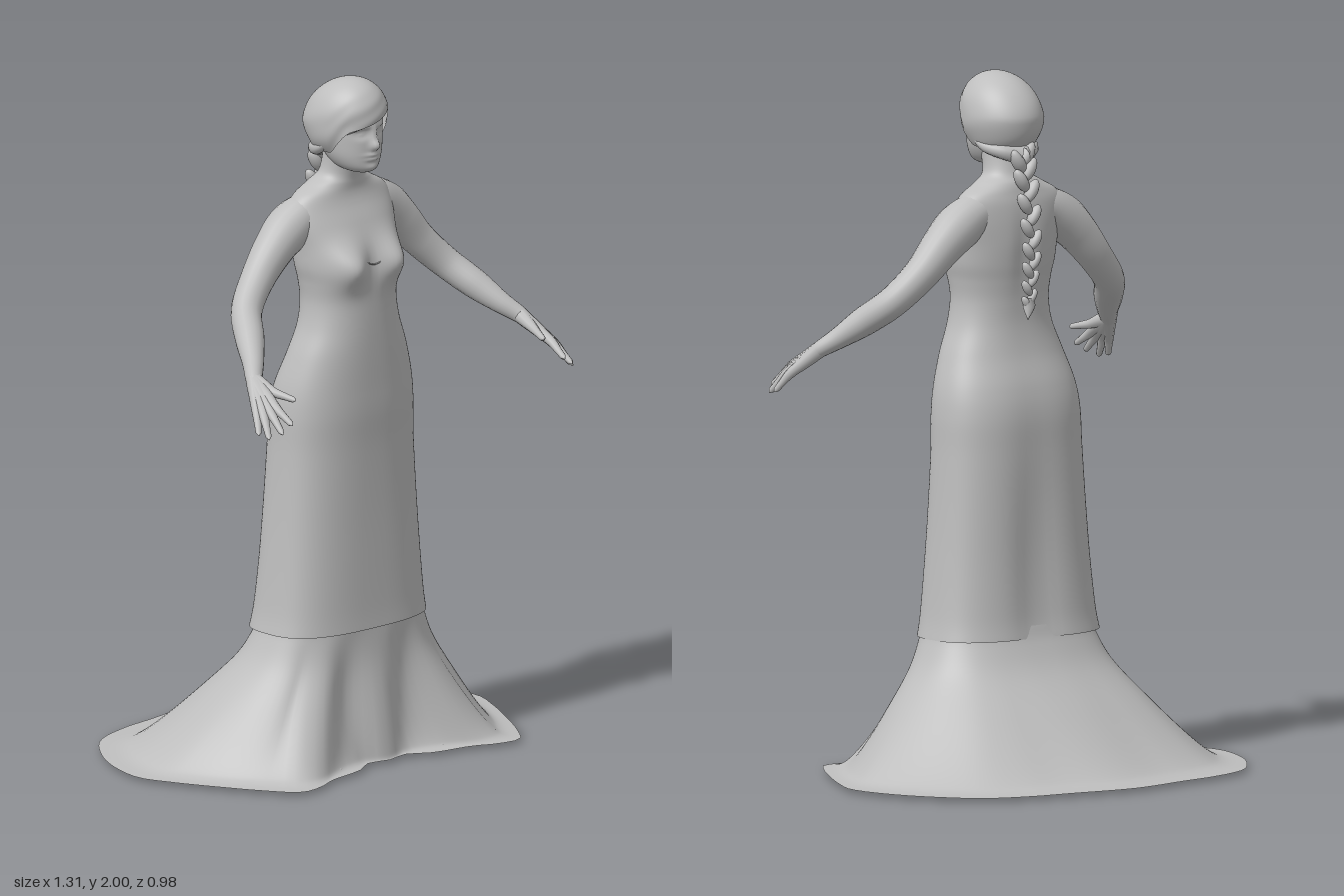
import * as THREE from 'three';

const grey = new THREE.MeshStandardMaterial({ color: 0xbebebe, side: THREE.DoubleSide });
grey.name = 'clay grey';

const bump = (a, b, s, t = s) => Math.exp(-((a / s) ** 2) - (b / t) ** 2);
const spow = (v, e) => Math.sign(v) * Math.abs(v) ** e;

// Smooth interpolation through a list of number rows, t in 0..1
function sample(rows, t) {
  const n = rows.length - 1, f = t * n, i = Math.min(n - 1, Math.floor(f)), k = f - i;
  const at = (j) => rows[Math.max(0, Math.min(n, j))];
  return rows[0].map((_, c) => {
    const [a, b, d, e] = [at(i - 1)[c], at(i)[c], at(i + 1)[c], at(i + 2)[c]];
    return b + 0.5 * k * (d - a + k * (2 * a - 5 * b + 4 * d - e + k * (3 * (b - d) + e - a)));
  });
}

// Closed rings stacked from top to bottom; u = 0 faces the front
function loft(name, nu, nv, fn) {
  const pos = [], idx = [];
  for (let j = 0; j <= nv; j++)
    for (let i = 0; i < nu; i++) {
      pos.push(...fn((i / nu) * Math.PI * 2, j / nv));
      if (j === nv) continue;
      const a = j * nu + i, b = j * nu + ((i + 1) % nu);
      idx.push(a, a + nu, b, b, a + nu, b + nu);
    }
  const g = new THREE.BufferGeometry();
  g.setAttribute('position', new THREE.Float32BufferAttribute(pos, 3));
  g.setIndex(idx);
  g.computeVertexNormals();
  return part(name, g);
}

function part(name, geometry) {
  const m = new THREE.Mesh(geometry, grey);
  m.name = name;
  return m;
}

// Rounded cross-section from [y, half width, front z, back z]
function ring([y, rx, zf, zb], u, e) {
  return [rx * spow(Math.sin(u), e), y, (zf + zb) / 2 + ((zf - zb) / 2) * spow(Math.cos(u), e)];
}

// Tapered tube through points [x, y, z, radius]
function limb(name, pts, seg = 24, sides = 14) {
  const curve = new THREE.CatmullRomCurve3(pts.map((p) => new THREE.Vector3(p[0], p[1], p[2])));
  const g = new THREE.TubeGeometry(curve, seg, 1, sides);
  const pos = g.attributes.position, nor = g.attributes.normal;
  for (let i = 0; i < pos.count; i++) {
    const u = Math.floor(i / (sides + 1)) / seg, c = curve.getPointAt(u);
    const r = Math.max(0.0005, sample(pts, curve.getUtoTmapping(u))[3]);
    pos.setXYZ(i, c.x + nor.getX(i) * r, c.y + nor.getY(i) * r, c.z + nor.getZ(i) * r);
  }
  return part(name, g);
}

// Neck to gown hem: [y, half width, front z, back z, roundness]
const BODY = [
  [1.79, 0.062, 0.205, 0.08, 1], [1.72, 0.067, 0.185, 0.065, 1], [1.69, 0.105, 0.18, 0.05, 0.95],
  [1.662, 0.155, 0.18, 0.042, 0.9], [1.63, 0.178, 0.19, 0.034, 0.9], [1.58, 0.18, 0.215, 0.028, 0.9],
  [1.52, 0.17, 0.24, 0.026, 0.9], [1.46, 0.164, 0.252, 0.03, 0.9], [1.41, 0.154, 0.26, 0.036, 0.9],
  [1.35, 0.149, 0.263, 0.041, 0.9], [1.28, 0.161, 0.265, 0.04, 0.88], [1.2, 0.192, 0.266, 0.025, 0.86],
  [1.11, 0.22, 0.266, -0.005, 0.84], [1.03, 0.231, 0.266, -0.02, 0.82], [0.92, 0.234, 0.262, -0.024, 0.8],
  [0.75, 0.243, 0.262, -0.028, 0.76], [0.6, 0.254, 0.265, -0.034, 0.74], [0.46, 0.267, 0.269, -0.044, 0.72],
  [0.395, 0.278, 0.273, -0.054, 0.72]];
const HEAD = [
  [1.99, 0.005, 0.2, 0.185], [1.965, 0.06, 0.235, 0.11], [1.92, 0.082, 0.26, 0.06], [1.87, 0.087, 0.268, 0.05],
  [1.82, 0.083, 0.268, 0.06], [1.78, 0.073, 0.266, 0.09], [1.75, 0.055, 0.262, 0.12], [1.735, 0.032, 0.247, 0.16],
  [1.728, 0.002, 0.21, 0.2]];
// Half of the hem outline on the floor, front to back, as [x, z]
const HEM = [
  [0, 0.325], [0.07, 0.31], [0.14, 0.35], [0.27, 0.375], [0.34, 0.405], [0.42, 0.412], [0.48, 0.34], [0.55, 0.22],
  [0.62, 0.08], [0.655, -0.02], [0.625, -0.16], [0.56, -0.28], [0.46, -0.39], [0.33, -0.44], [0.2, -0.46], [0, -0.49]];
const FLARE = [[0.43, -0.02], [0.38, 0.02], [0.3, 0.13], [0.2, 0.35], [0.1, 0.59], [0.04, 0.76], [0.02, 0.86], [0.014, 1]];

function addBody(g) {
  // Bust swells at the chest, hollow spine and the crease down the back of the gown
  g.add(loft('body and gown', 72, 130, (u, v) => {
    const row = sample(BODY, v);
    const [x, y, z] = ring(row, u, row[4]);
    const swell = z > 0.15
      ? 0.05 * bump(Math.abs(x) - 0.085, y - 1.465, 0.056, 0.06)
      : 0.008 * bump(x, y - 1.5, 0.03, 0.12) + 0.02 * bump(x, y - 0.55, 0.07, 0.4);
    return [x - 0.004, y, z + swell];
  }));
  const line = [[-0.04, 1.48, 0.266, 0.001], [-0.02, 1.468, 0.264, 0.002], [0, 1.463, 0.262, 0.002],
    [0.02, 1.468, 0.264, 0.002], [0.04, 1.48, 0.266, 0.001]];
  g.add(limb('neckline', line, 16, 6));

  // Flared train with soft folds below the gown, steeper at the front
  const half = HEM.map(([x, z]) => new THREE.Vector3(x, 0, z));
  const other = half.slice(1, -1).reverse().map((p) => new THREE.Vector3(-p.x, 0, p.z));
  const hem = new THREE.CatmullRomCurve3([...half, ...other], true);
  g.add(loft('train', 96, 40, (u, v) => {
    const [y, f] = sample(FLARE, v);
    const [x, , z] = ring([0, 0.27, 0.266, -0.042], u, 0.78);
    const p = hem.getPointAt((u / (Math.PI * 2)) % 1);
    const front = Math.max(0, Math.cos(u));
    const k = spow(f, 1 + 0.7 * front * front);
    const kx = f + 0.25 * f * (1 - f) * Math.cos(u * 9) * front;
    return [x + (p.x - x) * kx, y, z + (p.z - z) * k + 0.02 * f * (1 - f) * 4 * Math.cos(u * 11) * front];
  }));
}

function addHead(g) {
  g.add(loft('head', 72, 72, (u, v) => {
    const [x, y, z] = ring(sample(HEAD, v), u, 0.95);
    let d = 0;
    if (z > 0.18) {
      const ax = Math.abs(x);
      d += 0.022 * bump(x, y - 1.817, 0.013, 0.016) + 0.01 * bump(x, y - 1.845, 0.01, 0.025);   // nose
      d -= 0.012 * bump(ax - 0.034, y - 1.853, 0.02, 0.013);                                    // eye sockets
      d += 0.006 * bump(ax - 0.034, y - 1.852, 0.011, 0.006);                                   // eyelids
      d += 0.009 * bump(x, y - 1.79, 0.024, 0.006) + 0.009 * bump(x, y - 1.777, 0.02, 0.006);   // lips
      d += 0.006 * bump(x, y - 1.75, 0.02, 0.012) + 0.005 * bump(ax - 0.035, y - 1.872, 0.02, 0.007);
    }
    return [x - 0.01, y, z + d];
  }));

  // Hair cap, crown leaning forward, with a sweeping fringe and lower sides and nape
  g.add(loft('hair', 72, 36, (u, v) => {
    const a = u > Math.PI ? u - Math.PI * 2 : u;
    const side = THREE.MathUtils.smoothstep(Math.abs(a), 0.65, 1.35);
    const back = THREE.MathUtils.smoothstep(Math.abs(a), 1.5, 2.8);
    const edge = (85 - 16 * Math.sin(a) * (1 - side)) * (1 - side) + (133 + 16 * back) * side;
    const th = THREE.MathUtils.degToRad(edge) * v + 0.001;
    const r = 1 + 0.012 * Math.sin(a * 3 + v * 22) * v * v;
    const lean = 0.03 * Math.max(0, Math.cos(th));
    return [-0.01 + 0.113 * r * Math.sin(th) * Math.sin(a), 1.875 + 0.125 * Math.cos(th),
      0.147 + lean + 0.13 * r * Math.sin(th) * Math.cos(a)];
  }));
  for (let i = 0; i < 3; i++) {
    const d = i * 0.013;
    g.add(limb('fringe lock', [[0.07, 1.915 + d * 0.8, 0.228, 0.002], [0.035, 1.907 + d, 0.262 - d * 0.2, 0.005],
      [-0.03, 1.885 + d, 0.27 - d * 0.1, 0.006], [-0.075, 1.862 + d, 0.237, 0.006], [-0.1, 1.835 + d, 0.18, 0.002]], 20, 8));
  }
  for (const s of [-1, 1])
    g.add(limb('nape roll', [[s * 0.088 - 0.01, 1.82, 0.17, 0.006], [s * 0.08 - 0.01, 1.795, 0.125, 0.016],
      [s * 0.05 - 0.008, 1.782, 0.075, 0.022], [-0.005, 1.77, 0.047, 0.026]], 18, 10));

  // Braid of overlapping plump locks in a herringbone down the back
  const SPINE = [[1.77, 0.05], [1.7, 0.03], [1.6, 0.01], [1.5, 0.001], [1.42, 0.008], [1.35, 0.015]];
  for (let i = 0; i < 16; i++) {
    const t = i / 15, [y, z] = sample(SPINE, t), w = 1 - 0.45 * t, s = i % 2 ? 1 : -1;
    const lock = part('braid lock', new THREE.SphereGeometry(1, 16, 12));
    lock.scale.set(0.019 * w, 0.042 * w, 0.023 * w);
    lock.position.set(-0.006 + s * 0.017 * w, y, z);
    lock.rotation.z = -s * 0.55;
    g.add(lock);
  }
  g.add(limb('braid tip', [[-0.006, 1.365, 0.013, 0.01], [-0.006, 1.345, 0.015, 0.018], [-0.005, 1.325, 0.016, 0.012],
    [-0.004, 1.3, 0.018, 0.001]], 14, 10));
}

// Arm and hand on side s
function addArm(g, s) {
  const flip = (pts) => pts.map(([x, y, z, r]) => [x * s, y, z, r]);
  const wrist = [0.515, 1.228, 0.312, 0.024];
  g.add(limb('arm', flip([[0.07, 1.618, 0.105, 0.04], [0.13, 1.604, 0.103, 0.06], [0.185, 1.572, 0.1, 0.067],
    [0.238, 1.527, 0.1, 0.06], [0.31, 1.45, 0.107, 0.05], [0.385, 1.373, 0.14, 0.045], [0.437, 1.312, 0.21, 0.042],
    [0.48, 1.262, 0.27, 0.031], wrist, [0.527, 1.21, 0.335, 0.018]]), 44, 20));
  const fingers = [
    ['index finger', [0.532, 1.168, 0.425], [0.527, 1.13, 0.487]],
    ['middle finger', [0.549, 1.157, 0.42], [0.56, 1.108, 0.482]],
    ['ring finger', [0.564, 1.152, 0.405], [0.588, 1.093, 0.455]],
    ['little finger', [0.57, 1.152, 0.384], [0.596, 1.1, 0.42]],
    ['thumb', [0.503, 1.203, 0.382], [0.48, 1.188, 0.45]]];
  for (const [name, k, t] of fingers) {
    const mix = (f, r) => [...k.map((c, i) => c + (t[i] - c) * f), r];
    const palm = [...k.map((c, i) => (c + wrist[i]) / 2), 0.019];
    g.add(limb(name, flip([wrist, palm, mix(0, 0.014), mix(0.5, 0.0105), mix(0.9, 0.008), mix(1, 0.001)]), 20, 10));
  }
}

// Shoe with a short ankle, hidden under the train
function addFoot(g, s) {
  const foot = loft('shoe', 32, 24, (u, v) => {
    const th = v * Math.PI, c = Math.cos(th), z = Math.cos(u) * Math.sin(th);
    const w = 0.036 + 0.012 * z, top = 0.04 - 0.02 * z;
    return [w * Math.sin(u) * Math.sin(th), 0.022 + (c > 0 ? top : 0.02) * c, 0.135 * z];
  });
  foot.position.set(s * 0.21, 0, 0.2);
  foot.rotation.y = -s * 0.08;
  g.add(foot);
  g.add(limb('ankle', [[s * 0.222, 0.03, 0.11, 0.032], [s * 0.224, 0.1, 0.1, 0.027], [s * 0.226, 0.18, 0.095, 0.033]], 10, 14));
}

export function createModel() {
  const g = new THREE.Group();
  g.name = 'woman in gown';
  addBody(g);
  addHead(g);
  for (const s of [1, -1]) {
    addArm(g, s);
    addFoot(g, s);
  }
  return g;
}
